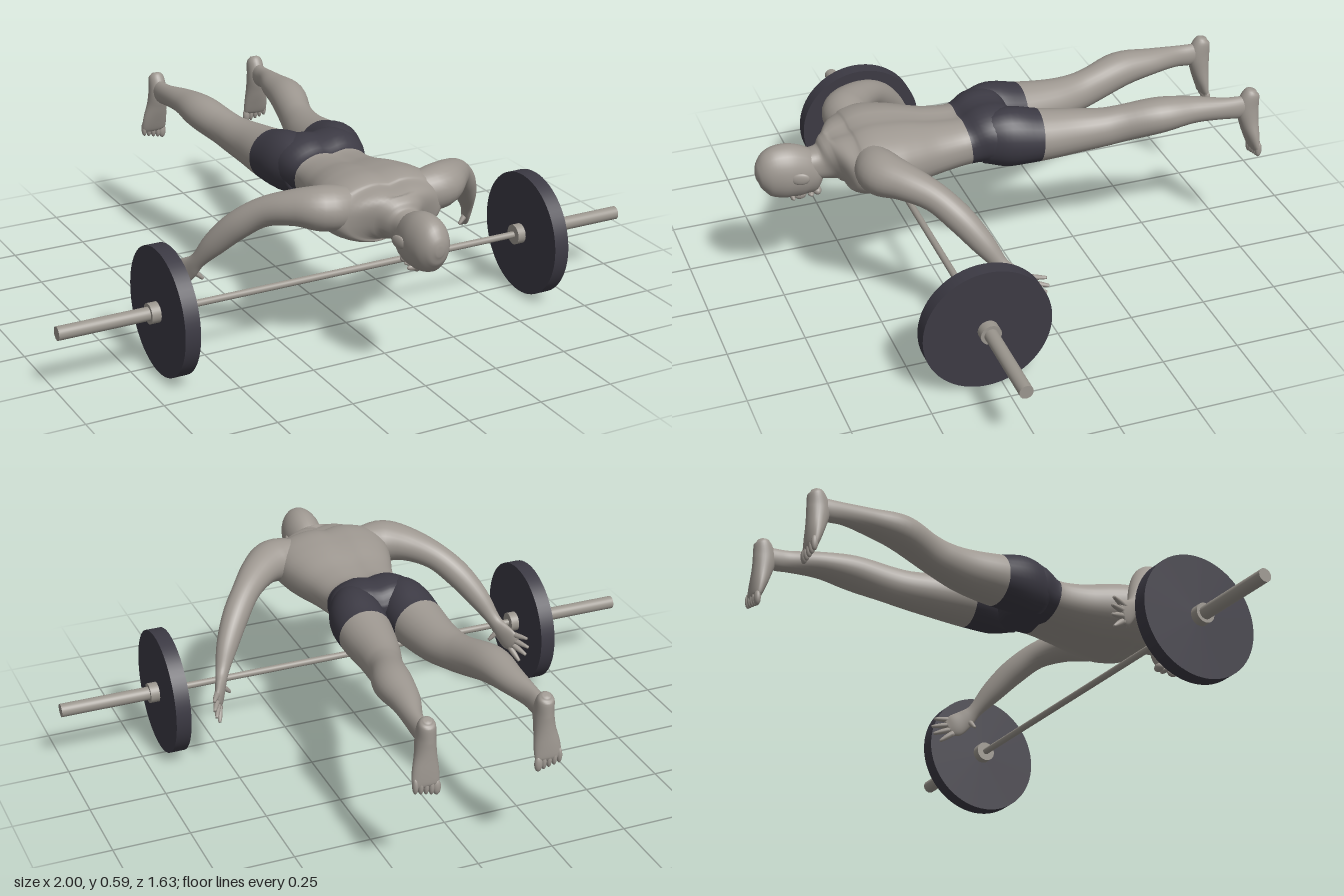
import * as THREE from 'three';

const flat = (name, color) => {
  const m = new THREE.MeshStandardMaterial({ color });
  m.name = name;
  return m;
};

export function createModel() {
  const group = new THREE.Group();
  const skin = flat('skin', 0x9e9891);
  const charcoal = flat('charcoal', 0x3c3a44);
  const steel = flat('steel', 0x9b968e);

  const add = (name, geo, mat, parent = group) => {
    const mesh = new THREE.Mesh(geo, mat);
    mesh.name = name;
    parent.add(mesh);
    return mesh;
  };

  // Smooth closed loft through sections [x, y, z, halfWidth, halfHeight].
  // split = section index where the second material starts.
  function loft(sections, { up = [0, 1, 0], steps = 5, sides = 28, split, power = 1, shape } = {}) {
    const spline = pts => new THREE.CatmullRomCurve3(pts, false, 'catmullrom', 0.5);
    const path = spline(sections.map(s => new THREE.Vector3(s[0], s[1], s[2])));
    const size = spline(sections.map(s => new THREE.Vector3(s[3], s[4], 0)));
    const n = (sections.length - 1) * steps;
    const ref = new THREE.Vector3(...up);
    const pos = [], idx = [];
    const round = v => Math.sign(v) * Math.abs(v) ** power;
    for (let i = 0; i <= n; i++) {
      const c = path.getPoint(i / n), s = size.getPoint(i / n), t = path.getTangent(i / n);
      const side = new THREE.Vector3().crossVectors(t, ref).normalize();
      const top = new THREE.Vector3().crossVectors(side, t);
      for (let j = 0; j < sides; j++) {
        const a = (j / sides) * Math.PI * 2;
        const p = c.clone().addScaledVector(side, round(Math.cos(a)) * s.x)
          .addScaledVector(top, round(Math.sin(a)) * s.y);
        if (shape) shape(p, c, s);
        pos.push(p.x, p.y, p.z);
      }
    }
    const first = pos.length / 3;
    for (const t of [0, 1]) pos.push(...path.getPoint(t).toArray());
    for (let j = 0; j < sides; j++) idx.push(first, j, (j + 1) % sides);
    for (let i = 0; i < n; i++) {
      for (let j = 0; j < sides; j++) {
        const k = (j + 1) % sides, a = i * sides, b = a + sides;
        idx.push(a + j, b + j, a + k, a + k, b + j, b + k);
      }
    }
    for (let j = 0; j < sides; j++) idx.push(first + 1, n * sides + (j + 1) % sides, n * sides + j);
    const geo = new THREE.BufferGeometry();
    geo.setAttribute('position', new THREE.Float32BufferAttribute(pos, 3));
    geo.setIndex(idx);
    geo.computeVertexNormals();
    if (split !== undefined) {
      const cut = sides * 3 + split * steps * sides * 6;
      geo.addGroup(0, cut, 0);
      geo.addGroup(cut, idx.length - cut, 1);
    }
    return geo;
  }

  // Torso with spine and chest grooves; the hips are covered by shorts
  const groove = (p, c, s) => {
    if (s.x > 0.1) p.y -= Math.sign(p.y - c.y) * 0.012 * Math.exp(-((p.x / 0.03) ** 2));
  };
  add('torsoAndShorts', loft([
    [0, 0.475, 0.67, 0.045, 0.045], [0, 0.475, 0.61, 0.052, 0.054],
    [0, 0.485, 0.573, 0.085, 0.074], [0, 0.49, 0.545, 0.15, 0.083],
    [0, 0.488, 0.51, 0.19, 0.095], [0, 0.491, 0.46, 0.2, 0.106],
    [0, 0.489, 0.4, 0.193, 0.105], [0, 0.485, 0.34, 0.175, 0.1],
    [0, 0.48, 0.25, 0.145, 0.086], [0, 0.482, 0.148, 0.131, 0.079],
    [0, 0.496, 0.075, 0.152, 0.099], [0, 0.492, 0.01, 0.155, 0.088],
    [0, 0.49, -0.02, 0.11, 0.05],
  ], { sides: 44, split: 9, power: 0.85, shape: groove }), [skin, charcoal]);

  // Head, face down
  const head = new THREE.Group();
  head.name = 'head';
  group.add(head);
  add('skull', loft([
    [0, 0.465, 0.816, 0.012, 0.015], [0, 0.466, 0.804, 0.036, 0.048],
    [0, 0.467, 0.775, 0.056, 0.079], [0, 0.465, 0.73, 0.065, 0.09],
    [0, 0.456, 0.69, 0.063, 0.087], [0, 0.44, 0.65, 0.054, 0.076],
    [0, 0.425, 0.622, 0.04, 0.058], [0, 0.42, 0.608, 0.02, 0.035],
  ]), skin, head);
  const ball = (name, parent, p, r) => {
    const m = add(name, new THREE.SphereGeometry(1, 20, 14), skin, parent);
    m.position.set(...p);
    m.scale.set(...r);
    return m;
  };
  ball('nose', head, [0, 0.368, 0.678], [0.011, 0.017, 0.02]);
  ball('lips', head, [0, 0.366, 0.645], [0.02, 0.008, 0.01]);
  ball('chin', head, [0, 0.374, 0.624], [0.022, 0.015, 0.014]);

  for (const s of [1, -1]) {
    const side = s > 0 ? 'left' : 'right';
    const m = list => list.map(([x, ...rest]) => [x * s, ...rest]);

    const ear = ball(side + 'Ear', head, [s * 0.067, 0.463, 0.69], [0.008, 0.02, 0.029]);
    ear.rotation.y = -s * 0.25;
    ball(side + 'Brow', head, [s * 0.025, 0.382, 0.71], [0.024, 0.01, 0.008]);

    // Arm running into the flat palm
    add(side + 'Arm', loft(m([
      [0.12, 0.505, 0.475, 0.06, 0.068], [0.2, 0.515, 0.467, 0.074, 0.07],
      [0.27, 0.512, 0.415, 0.06, 0.056], [0.34, 0.485, 0.345, 0.046, 0.046],
      [0.4, 0.43, 0.285, 0.043, 0.045], [0.45, 0.36, 0.23, 0.035, 0.038],
      [0.485, 0.295, 0.185, 0.022, 0.025], [0.502, 0.262, 0.155, 0.017, 0.034],
      [0.518, 0.237, 0.125, 0.014, 0.041], [0.53, 0.224, 0.105, 0.009, 0.03],
    ])), skin);

    // Spread fingers and thumb: [base, tip]
    [
      [[0.522, 0.258, 0.125], [0.555, 0.262, 0.062]],
      [[0.526, 0.24, 0.115], [0.557, 0.232, 0.054]],
      [[0.526, 0.222, 0.112], [0.55, 0.204, 0.058]],
      [[0.52, 0.208, 0.118], [0.535, 0.175, 0.075]],
      [[0.5, 0.258, 0.165], [0.465, 0.222, 0.172]],
    ].forEach(([a, b], i) => {
      const mid = a.map((v, k) => (v + b[k]) / 2);
      add(side + (i < 4 ? 'Finger' : 'Thumb'), loft(m([
        [...a, 0.01, 0.01], [...mid, 0.009, 0.009], [...b, 0.005, 0.005],
      ]), { steps: 3, sides: 10 }), skin);
    });

    // Leg, with the upper thigh in the shorts
    add(side + 'Leg', loft(m([
      [0.078, 0.492, 0.1, 0.06, 0.08], [0.086, 0.492, 0.02, 0.085, 0.098],
      [0.092, 0.481, -0.083, 0.087, 0.085], [0.102, 0.477, -0.2, 0.073, 0.073],
      [0.119, 0.481, -0.29, 0.061, 0.064], [0.134, 0.492, -0.36, 0.056, 0.061],
      [0.162, 0.514, -0.47, 0.061, 0.058], [0.171, 0.517, -0.58, 0.047, 0.044],
      [0.187, 0.51, -0.68, 0.029, 0.037], [0.19, 0.505, -0.735, 0.025, 0.038],
      [0.19, 0.505, -0.78, 0.022, 0.036],
    ]), { split: 2 }), [charcoal, skin]);

    // Foot pointing down with the sole facing back
    add(side + 'Foot', loft(m([
      [0.19, 0.563, -0.788, 0.012, 0.011], [0.19, 0.548, -0.782, 0.026, 0.028],
      [0.19, 0.5, -0.772, 0.03, 0.038], [0.192, 0.45, -0.778, 0.034, 0.032],
      [0.196, 0.4, -0.788, 0.042, 0.024], [0.198, 0.362, -0.796, 0.043, 0.016],
      [0.198, 0.35, -0.799, 0.036, 0.009],
    ]), { up: [0, 0, 1] }), skin);
    for (let i = 0; i < 5; i++) {
      const x = 0.165 + i * 0.017, r = i ? 0.009 : 0.013;
      ball(side + 'Toe', group, [s * x, 0.342 + i * 0.004, -0.8], [r, 0.026, 0.011]);
    }
  }

  // Barbell: thin grip, thick sleeves, collars and plates along x
  const barbell = new THREE.Group();
  barbell.name = 'barbell';
  barbell.position.set(0, 0.205, 0.295);
  group.add(barbell);
  const rod = (name, x0, x1, r, mat, sides = 32) => {
    const geo = new THREE.CylinderGeometry(r, r, Math.abs(x1 - x0), sides).rotateZ(Math.PI / 2);
    add(name, geo, mat, barbell).position.x = (x0 + x1) / 2;
  };
  rod('gripBar', -0.61, 0.61, 0.011, steel);
  for (const s of [1, -1]) {
    rod('sleeve', s * 0.6, s, 0.022, steel);
    rod('innerCollar', s * 0.597, s * 0.626, 0.033, steel);
    rod('outerCollar', s * 0.674, s * 0.705, 0.033, steel);
    rod('weightPlate', s * 0.625, s * 0.675, 0.205, charcoal, 64);
  }
  return group;
}
